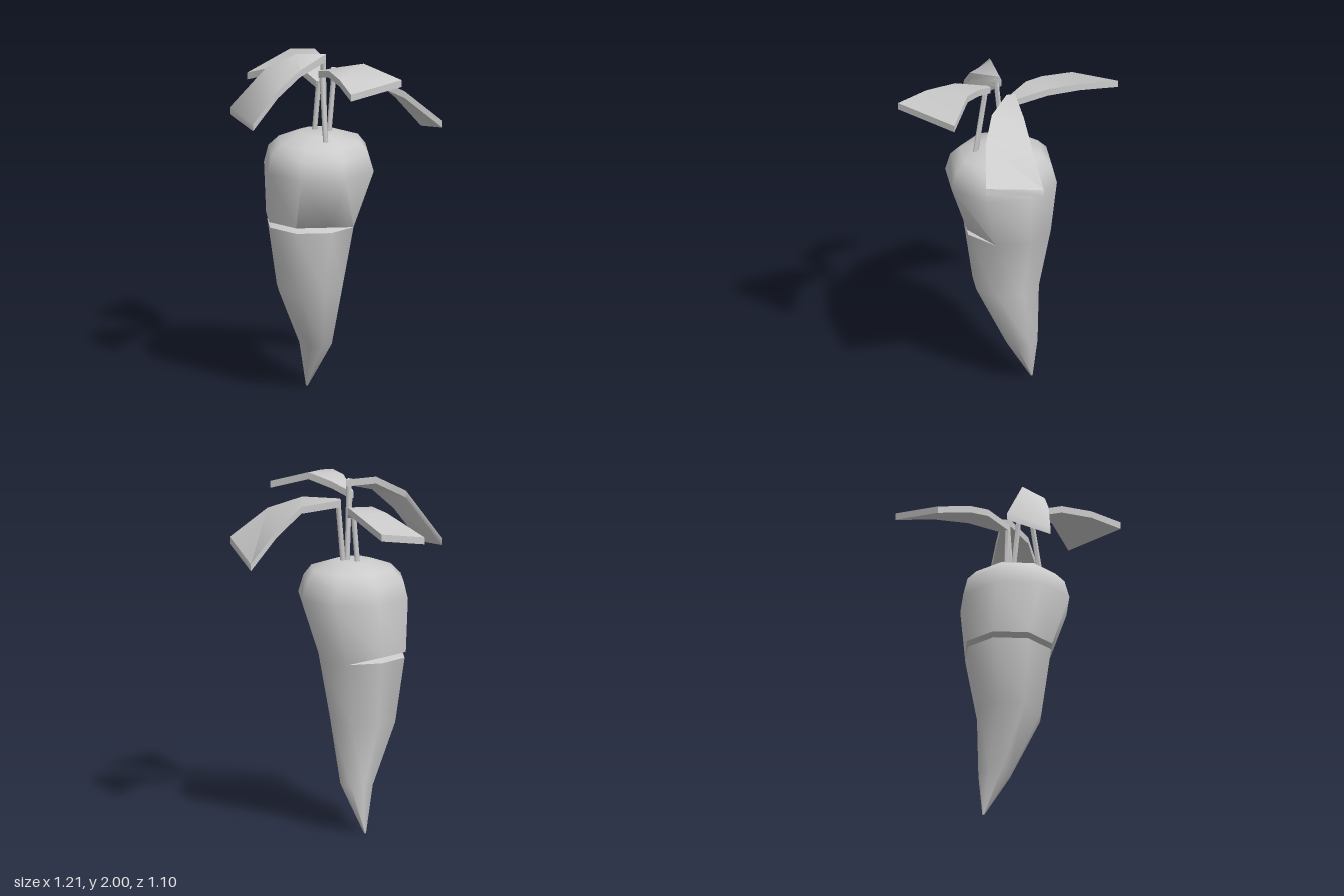
import * as THREE from 'three';
import { toCreasedNormals } from 'three/addons/utils/BufferGeometryUtils.js';

const material = new THREE.MeshStandardMaterial({ color: 0xcccccc, side: THREE.DoubleSide });

// Skin a list of equal-sized rings of points and close both ends
function loft(rings, crease) {
  const n = rings[0].length;
  const last = (rings.length - 1) * n;
  const index = [];
  for (let i = 0; i < rings.length - 1; i++) {
    for (let j = 0; j < n; j++) {
      const a = i * n + j, b = i * n + (j + 1) % n;
      index.push(a, a + n, b + n, a, b + n, b);
    }
  }
  for (let j = 1; j < n - 1; j++) {
    index.push(0, j, j + 1, last, last + j + 1, last + j);
  }
  const geo = new THREE.BufferGeometry();
  geo.setAttribute('position', new THREE.Float32BufferAttribute(rings.flat(2), 3));
  geo.setIndex(index);
  return toCreasedNormals(geo, crease);
}

// Octagonal root, bent along its length, with a wedge cut part of the way round
function makeRoot() {
  const SIDES = 8;
  const ring = (y, cx, cz, r) => Array.from({ length: SIDES }, (_, j) => {
    const t = j / SIDES * Math.PI * 2;
    return [cx + r * Math.cos(t), y, cz + r * Math.sin(t)];
  });
  // The cut is open on the front and right, and closes to nothing at its ends
  const cutRing = (dy, inset) => Array.from({ length: SIDES }, (_, j) => {
    const t = j / SIDES * Math.PI * 2;
    const open = j > 0 && j < 6 ? 1 : 0;
    const r = 0.253 - open * inset + open * dy * 0.2;
    return [-0.148 + r * Math.cos(t), 0.987 + open * dy, 0.016 + r * Math.sin(t)];
  });
  const rings = [
    ring(0, -0.21, -0.11, 0.006),
    ring(0.27, -0.145, -0.065, 0.096),
    ring(0.62, -0.152, 0.025, 0.192),
    cutRing(0.008, 0),
    cutRing(0.025, 0.07),
    cutRing(0.042, 0),
    ring(1.33, -0.092, 0.037, 0.323),
    ring(1.43, -0.095, 0.037, 0.295),
    ring(1.49, -0.088, 0.035, 0.24),
    ring(1.535, -0.095, 0.035, 0.11),
  ];
  return loft(rings, Math.PI / 3);
}

// Each leaf: top points of its right and left edges from stem to tip
const leaves = [
  {
    name: 'backRightLeaf', stem: [[-0.13, 1.52, 0], [-0.105, 1.82, 0]],
    right: [[-0.075, 1.82, -0.01], [-0.145, 1.89, -0.22], [-0.25, 1.89, -0.38], [-0.45, 1.825, -0.55]],
    left: [[-0.115, 1.82, 0.012], [-0.24, 1.87, -0.07], [-0.345, 1.855, -0.135], [-0.605, 1.755, -0.245]],
  },
  {
    name: 'backLeftLeaf', stem: [[-0.045, 1.52, 0], [-0.025, 1.87, -0.03]],
    right: [[-0.03, 1.89, -0.01], [0.2, 1.88, 0.018], [0.4, 1.805, 0.003], [0.605, 1.635, -0.05]],
    left: [[-0.05, 1.89, -0.055], [0.15, 1.86, -0.155], [0.27, 1.73, -0.235], [0.39, 1.55, -0.33]],
  },
  {
    name: 'frontLeftLeaf', stem: [[-0.01, 1.5, 0.165], [-0.05, 1.9, 0.115]],
    right: [[-0.07, 1.91, 0.11], [0.04, 1.965, 0.27], [0.15, 1.96, 0.41], [0.26, 1.92, 0.545]],
    left: [[-0.06, 1.91, 0.09], [0.06, 1.95, 0.13], [0.21, 1.99, 0.155], [0.44, 1.92, 0.175]],
  },
  {
    name: 'frontRightLeaf', stem: [[-0.065, 1.52, 0.015], [-0.06, 1.97, 0.06]],
    right: [[-0.05, 1.99, 0.035], [-0.2, 2, 0.12], [-0.36, 1.92, 0.17], [-0.578, 1.665, 0.155]],
    left: [[-0.05, 1.99, 0.08], [-0.14, 1.94, 0.23], [-0.25, 1.825, 0.29], [-0.38, 1.635, 0.345]],
  },
];

// Curved blade of even thickness
function makeBlade({ right, left }) {
  const drop = ([x, y, z]) => [x, y - 0.04, z];
  return loft(right.map((r, i) => [r, left[i], drop(left[i]), drop(r)]), Math.PI / 4);
}

// Thin stalk between two points
function makeStem([from, to]) {
  const a = new THREE.Vector3(...from), b = new THREE.Vector3(...to);
  const dir = b.clone().sub(a);
  const geo = toCreasedNormals(new THREE.CylinderGeometry(0.015, 0.015, dir.length(), 6), Math.PI / 2.5);
  const mesh = new THREE.Mesh(geo, material);
  mesh.position.copy(a).add(b).multiplyScalar(0.5);
  mesh.quaternion.setFromUnitVectors(new THREE.Vector3(0, 1, 0), dir.normalize());
  return mesh;
}

export function createModel() {
  const model = new THREE.Group();
  model.name = 'carrot';

  const root = new THREE.Mesh(makeRoot(), material);
  root.name = 'root';
  model.add(root);

  for (const leaf of leaves) {
    const group = new THREE.Group();
    group.name = leaf.name;
    const blade = new THREE.Mesh(makeBlade(leaf), material);
    blade.name = 'blade';
    const stem = makeStem(leaf.stem);
    stem.name = 'stem';
    group.add(blade, stem);
    model.add(group);
  }
  return model;
}
